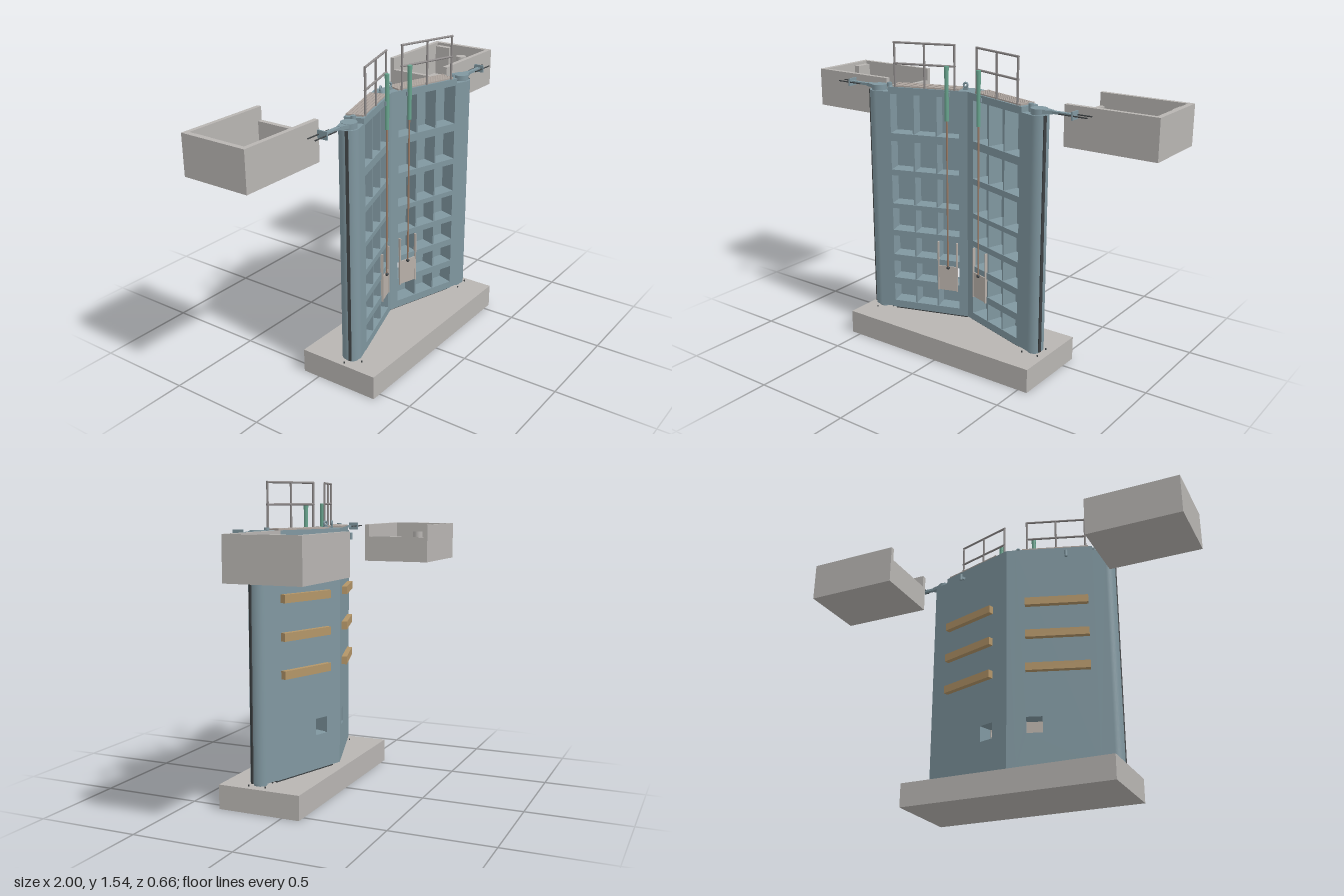
import * as THREE from 'three';

const mat = (name, color) => Object.assign(new THREE.MeshStandardMaterial({ color }), { name });
const M = {
  steel: mat('blue grey steel', 0x8097a0),
  concrete: mat('concrete', 0xb8b5b2),
  timber: mat('timber', 0xb39568),
  rail: mat('rail grey', 0x8e8a8a),
  grating: mat('grating', 0xaea59f),
  seal: mat('dark seal', 0x3c4042),
  ram: mat('ram green', 0x68a48e),
  rod: mat('rod brown', 0x9a7c68),
  paddle: mat('paddle grey', 0xb8b0a9),
};

const TILT = Math.PI / 10;   // angle of each leaf to the x axis
const HEEL = 0.496;          // mitre to heel, along the leaf
const T = 0.047;             // half thickness of a leaf

function add(parent, name, geo, material, x = 0, y = 0, z = 0) {
  const m = new THREE.Mesh(geo, material);
  m.name = name;
  m.position.set(x, y, z);
  parent.add(m);
  return m;
}

// Box from ranges; s mirrors it in x
function box(parent, name, material, s, [x0, x1], [y0, y1], [z0, z1]) {
  return add(parent, name, new THREE.BoxGeometry(x1 - x0, y1 - y0, z1 - z0), material,
    s * (x0 + x1) / 2, (y0 + y1) / 2, (z0 + z1) / 2);
}

function post(parent, name, material, r, x, y0, y1, z, n = 24) {
  return add(parent, name, new THREE.CylinderGeometry(r, r, y1 - y0, n), material, x, (y0 + y1) / 2, z);
}

// Counter-clockwise rectangle, mirrored by s
function rect(PathType, s, a, b, c, d) {
  const [l, r] = s > 0 ? [a, b] : [-b, -a];
  return new PathType([[l, c], [r, c], [r, d], [l, d]].map(p => new THREE.Vector2(...p)));
}

// Upright plate with rectangular holes
function plate(parent, name, s, x, y, [z0, z1], holes) {
  const shape = rect(THREE.Shape, s, ...x, ...y);
  shape.holes = holes.map(h => rect(THREE.Path, s, ...h));
  add(parent, name, new THREE.ExtrudeGeometry(shape, { depth: z1 - z0, bevelEnabled: false }), M.steel, 0, 0, z0);
}

// Plan outline of [x, z] points, raised from y0 to y1
function raised(parent, name, material, s, pts, y0, y1) {
  const shape = new THREE.Shape(pts.map(([x, z]) => new THREE.Vector2(s * x, -z)));
  const geo = new THREE.ExtrudeGeometry(shape, { depth: y1 - y0, bevelEnabled: false }).rotateX(-Math.PI / 2);
  add(parent, name, geo, material, 0, y0, 0);
}

// Round bar lying along x
function bar(parent, name, material, r, s, [x0, x1], y, z) {
  const geo = new THREE.CylinderGeometry(r, r, x1 - x0, 24).rotateZ(Math.PI / 2);
  add(parent, name, geo, material, s * (x0 + x1) / 2, y, z);
}

function lug(parent, s, u) {
  const g = new THREE.Group();
  g.name = 'liftingLug';
  g.position.set(s * u, 1.313, 0);
  add(g, 'lugBase', new THREE.BoxGeometry(0.024, 0.014, 0.012), M.steel, 0, 0.007, 0);
  add(g, 'lugEye', new THREE.TorusGeometry(0.01, 0.005, 12, 24), M.steel, 0, 0.026, 0);
  parent.add(g);
}

function makeLeaf(s) {
  const g = new THREE.Group();
  g.name = s > 0 ? 'leftLeaf' : 'rightLeaf';
  g.position.z = -0.005;
  g.rotation.y = -s * TILT;
  const Y = [0.132, 1.315];

  // skin, ribbed frame, mitre post and heel post
  const rows = [[0.17, 0.265], [0.30, 0.395], [0.43, 0.535], [0.565, 0.685], [0.71, 0.86], [0.89, 1.04], [1.08, 1.28]];
  plate(g, 'skinPlate', s, [0.03, 0.43], Y, [-T, -0.037], [[0.08, 0.16, 0.305, 0.387]]);
  plate(g, 'ribFrame', s, [0.03, 0.43], Y, [-0.037, T], rows.map(r => [0.06, 0.42, ...r]));
  for (const u of [0.18, 0.3])
    for (const r of rows) box(g, 'verticalRib', M.steel, s, [u - 0.004, u + 0.004], r, [-0.037, 0.043]);
  const m = T * Math.tan(TILT);
  raised(g, 'mitrePost', M.steel, s, [[-m, -T], [0.03, -T], [0.03, T], [m, T]], ...Y);
  box(g, 'heelWeb', M.steel, s, [0.43, HEEL], [0.135, 1.29], [-T, T]);
  post(g, 'heelPost', M.steel, T, s * HEEL, 0.135, 1.29, 0, 40);
  const strip = add(g, 'heelSeal', new THREE.BoxGeometry(0.012, 1.155, 0.014), M.seal, s * (HEEL + 0.0455), 0.7125, 0.005);
  strip.rotation.y = -s * 0.12;
  box(g, 'sillSeal', M.seal, s, [0.02, 0.42], [0.12, 0.132], [-0.033, 0.033]);

  // pintle and collar
  post(g, 'pintle', M.steel, 0.032, s * HEEL, 0.12, 0.135, 0);
  for (let i = 0; i < 4; i++) {
    const a = i * Math.PI / 2 + 0.4;
    post(g, 'pintleBolt', M.seal, 0.004, s * HEEL + 0.06 * Math.cos(a), 0.12, 0.127, 0.06 * Math.sin(a), 8);
  }
  post(g, 'collar', M.steel, 0.038, s * HEEL, 1.29, 1.317, 0, 32);
  post(g, 'collarPin', M.steel, 0.012, s * 0.44, 1.29, 1.328, 0);

  // timber fenders on the back
  for (const y of [0.64, 0.82, 1.0]) box(g, 'fender', M.timber, s, [0.08, 0.4], [y - 0.02, y + 0.02], [-0.074, -T]);

  // mooring stud on the back
  box(g, 'studArm', M.steel, s, [0.289, 0.299], [1.258, 1.272], [-0.072, -T]);
  post(g, 'studPin', M.steel, 0.008, s * 0.294, 1.248, 1.282, -0.074);

  // walkway grating
  for (let i = 0; i < 6; i++) {
    const v = -0.04 + i * 0.0144;
    box(g, 'gratingSlat', M.grating, s, [0.068, 0.405], [1.315, 1.322], [v - 0.0055, v + 0.0055]);
  }
  for (const u of [0.068, 0.405]) box(g, 'gratingEnd', M.grating, s, [u - 0.004, u + 0.004], [1.315, 1.323], [-0.0455, 0.0375]);

  // handrail
  for (const u of [0.083, 0.238, 0.393]) post(g, 'railPost', M.rail, 0.0055, s * u, 1.31, 1.537, 0.041);
  for (const y of [1.432, 1.535]) bar(g, 'handrail', M.rail, 0.0055, s, [0.078, 0.398], y, 0.041);

  // paddle valve with rod and ram
  box(g, 'paddle', M.paddle, s, [0.072, 0.172], [0.268, 0.4], [T, 0.053]);
  for (const u of [0.072, 0.172]) box(g, 'paddleGuide', M.paddle, s, [u - 0.003, u + 0.003], [0.265, 0.53], [T - 0.005, 0.056]);
  post(g, 'paddleRod', M.rod, 0.0045, s * 0.1185, 0.39, 1.17, 0.057);
  add(g, 'rodEye', new THREE.SphereGeometry(0.009, 24, 16), M.seal, s * 0.1185, 0.395, 0.057);
  post(g, 'ram', M.ram, 0.0105, s * 0.1185, 1.165, 1.42, 0.057);
  post(g, 'ramCap', M.ram, 0.012, s * 0.1185, 1.415, 1.435, 0.057);
  box(g, 'ramBracket', M.steel, s, [0.104, 0.133], [1.285, 1.305], [T - 0.005, 0.057]);

  lug(g, s, 0.04);
  return g;
}

// Tie bar from the heel collar to the wall
function makeAnchor(s) {
  const g = new THREE.Group();
  g.name = s > 0 ? 'leftAnchor' : 'rightAnchor';
  g.position.z = 0.148;
  raised(g, 'anchorStrap', M.steel, s, [[0.47, -0.035], [0.545, -0.01], [0.545, 0.01], [0.47, 0.035]], 1.298, 1.315);
  box(g, 'anchorBar', M.steel, s, [0.54, 0.652], [1.301, 1.313], [-0.01, 0.01]);
  box(g, 'anchorPlate', M.steel, s, [0.65, 0.657], [1.288, 1.326], [-0.026, 0.026]);
  for (const z of [-0.02, 0.02]) bar(g, 'anchorRod', M.seal, 0.003, s, [0.585, 0.727], 1.307, z);
  return g;
}

// Concrete recess with a low kerb towards the gate
function makeChamber(s) {
  const g = new THREE.Group();
  g.name = s > 0 ? 'leftChamber' : 'rightChamber';
  const Y = [1.145, 1.32];
  box(g, 'floor', M.concrete, s, [0.53, 1], [1.122, 1.145], [-0.33, 0.027]);
  box(g, 'backWall', M.concrete, s, [0.53, 1], Y, [-0.33, -0.308]);
  box(g, 'frontWall', M.concrete, s, [0.53, 1], Y, [0.003, 0.027]);
  box(g, 'outerWall', M.concrete, s, [0.974, 1], Y, [-0.308, 0.003]);
  box(g, 'kerb', M.concrete, s, [0.53, 0.555], [1.145, 1.255], [-0.308, 0.003]);
  box(g, 'pier', M.concrete, s, [0.942, 0.974], [1.145, 1.305], [-0.3, -0.212]);
  post(g, 'bollard', M.concrete, 0.028, s * 0.948, 1.145, 1.27, -0.135);
  return g;
}

export function createModel() {
  const model = new THREE.Group();
  model.name = 'lockGate';
  box(model, 'sill', M.concrete, 1, [-0.55, 0.55], [0, 0.12], [-0.09, 0.33]);
  for (const s of [1, -1]) model.add(makeLeaf(s), makeAnchor(s), makeChamber(s));
  return model;
}
